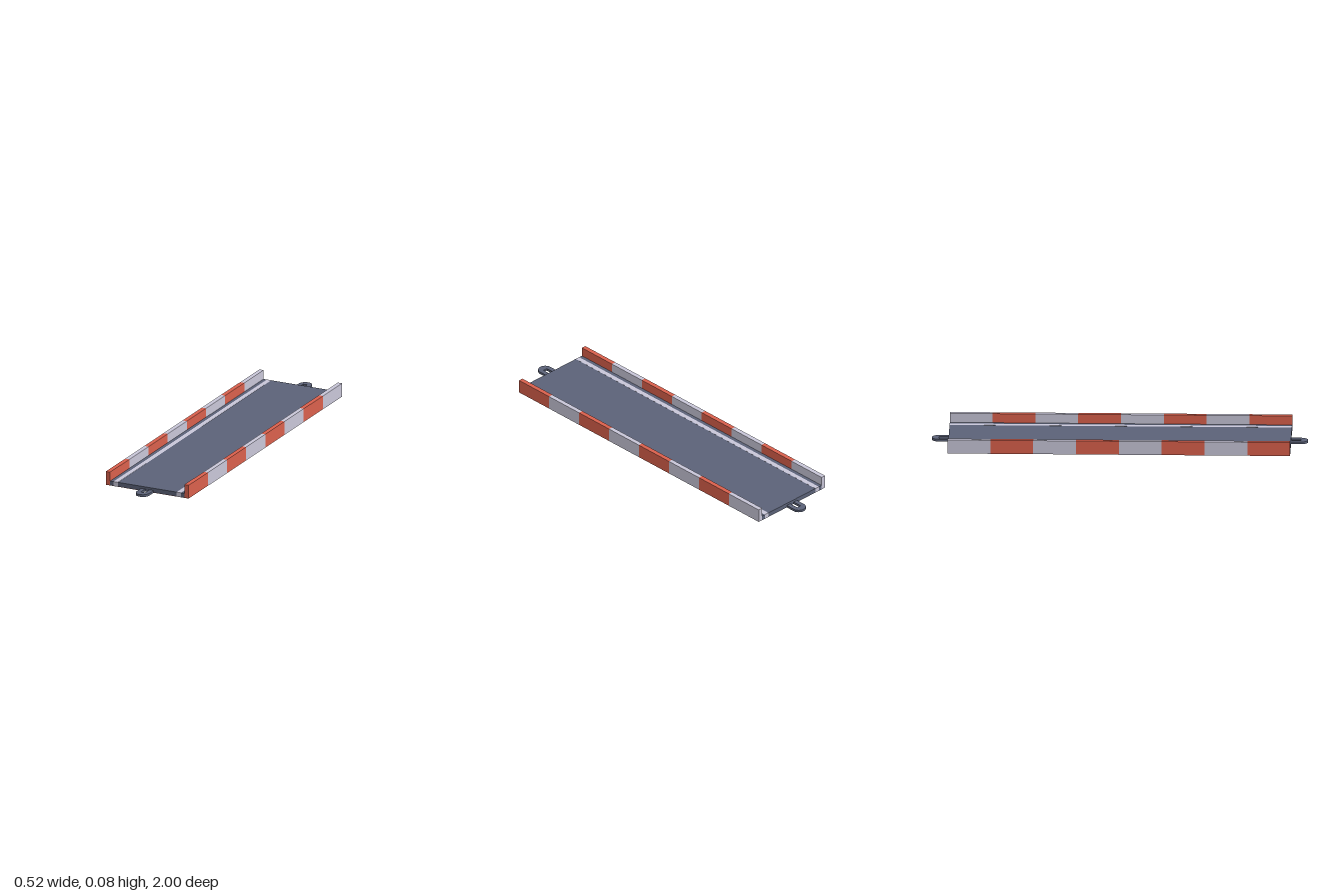
import * as THREE from 'three';

const HALF_W = 0.246, HALF_L = 0.91, WALL = 0.025, WALL_H = 0.075, DECK_H = 0.025;
const SKIN = 0.001; // thickness of painted plates

export function createModel() {
  const red = new THREE.MeshStandardMaterial({ name: 'kerb red', color: 0xd9604c });
  const white = new THREE.MeshStandardMaterial({ name: 'kerb white', color: 0xc8c6d8 });
  const slate = new THREE.MeshStandardMaterial({ name: 'slate', color: 0x5b6278 });

  const model = new THREE.Group();
  model.name = 'trackSection';
  const add = (name, geometry, material, x, y, z) => {
    const mesh = new THREE.Mesh(geometry, material);
    mesh.name = name;
    mesh.position.set(x, y, z);
    model.add(mesh);
    return mesh;
  };
  const box = (w, h, d) => new THREE.BoxGeometry(w, h, d);

  // Road deck between the walls
  const deckW = 2 * (HALF_W - WALL);
  add('deck', box(deckW, DECK_H - SKIN, 2 * HALF_L), slate, 0, (DECK_H + SKIN) / 2, 0);

  // Walls and underside in alternating bands, red at the front
  const bands = 8, step = 2 * HALF_L / bands;
  for (let i = 0; i < bands; i++) {
    const z = HALF_L - (i + 0.5) * step;
    const paint = i % 2 ? white : red;
    for (const side of [-1, 1])
      add(side > 0 ? 'leftWall' : 'rightWall', box(WALL, WALL_H, step), paint,
        side * (HALF_W - WALL / 2), WALL_H / 2, z);
    add('undersideBand', box(deckW, SKIN, step), paint, 0, SKIN / 2, z);
  }

  // Edge lines along the deck, wrapped over both ends
  for (const side of [-1, 1]) {
    const x = side * 0.1875;
    add('edgeLine', box(0.026, SKIN, 2 * HALF_L), white, x, DECK_H, 0);
    for (const end of [-1, 1])
      add('edgeLineEnd', box(0.026, DECK_H, SKIN), white, x, DECK_H / 2, end * HALF_L);
  }

  // Coupling loops: rounded tabs with a slot
  const R = 0.0375, reach = 1 - HALF_L - R;
  const tab = new THREE.Shape();
  tab.moveTo(-R, 0);
  tab.lineTo(R, 0);
  tab.lineTo(R, reach);
  tab.absarc(0, reach, R, 0, Math.PI, false);
  tab.closePath();
  const slot = new THREE.Path();
  slot.moveTo(-0.0125, 0.001);
  slot.lineTo(-0.0125, reach);
  slot.lineTo(0.0125, reach);
  slot.lineTo(0.0125, 0.001);
  slot.closePath();
  tab.holes.push(slot);
  const loop = new THREE.ExtrudeGeometry(tab, { depth: 0.0125, bevelEnabled: false, curveSegments: 16 });
  loop.rotateX(Math.PI / 2).translate(0, 0.0125, 0);
  add('frontCouplingLoop', loop, slate, 0, 0, HALF_L);
  add('backCouplingLoop', loop, slate, 0, 0, -HALF_L).rotation.y = Math.PI;

  // The whole section sits turned very slightly
  model.rotation.y = -0.013;
  const root = new THREE.Group();
  root.name = 'roadSection';
  root.add(model);
  return root;
}
